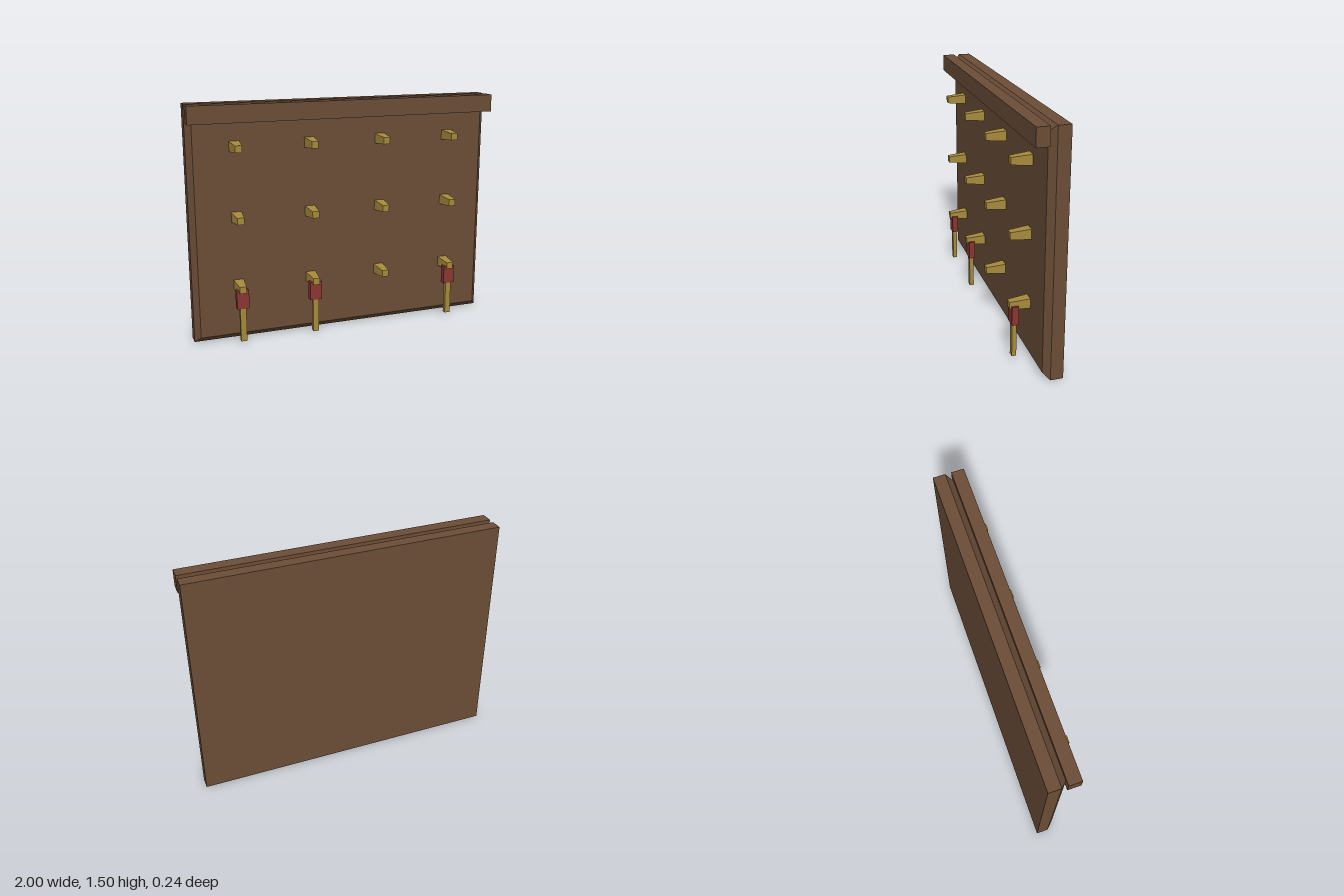
import * as THREE from 'three';

const wood = new THREE.MeshStandardMaterial({ name: 'brown wood', color: 0x6b4d37 });
const brass = new THREE.MeshStandardMaterial({ name: 'brass', color: 0xa68a3c });
const red = new THREE.MeshStandardMaterial({ name: 'red tag', color: 0x8a3631 });

// Box given by centre x, y and z range
function box(name, material, x, y, w, h, z0, z1) {
  const mesh = new THREE.Mesh(new THREE.BoxGeometry(w, h, z1 - z0), material);
  mesh.name = name;
  mesh.position.set(x, y, (z0 + z1) / 2);
  return mesh;
}

// Box whose front face is drawn in by `inset`, starting from the middle depth ring at zMid
function taperedGeometry(w, h, z0, zMid, z1, inset) {
  const geo = new THREE.BoxGeometry(w, h, 2, 1, 1, 2);
  const p = geo.attributes.position;
  for (let i = 0; i < p.count; i++) {
    const ring = p.getZ(i);
    const cut = ring > 0.5 ? inset : 0;
    p.setXYZ(
      i,
      Math.sign(p.getX(i)) * (w / 2 - cut),
      Math.sign(p.getY(i)) * (h / 2 - cut),
      ring > 0.5 ? z1 : ring < -0.5 ? z0 : zMid
    );
  }
  const flat = geo.toNonIndexed();
  flat.computeVertexNormals();
  return flat;
}

export function createModel() {
  const model = new THREE.Group();
  model.name = 'keyRack';

  // Backboard with a chamfered front edge
  const board = new THREE.Mesh(taperedGeometry(2, 1.5, -0.119, -0.042, -0.004, 0.036), wood);
  board.name = 'backboard';
  board.position.y = 0.75;
  model.add(board);

  // Rail across the top
  model.add(box('topRail', wood, 0, 1.445, 2, 0.11, -0.004, 0.075));

  // Grid of tapered pegs
  const columns = [-0.712, -0.237, 0.237, 0.712];
  const rows = [1.241, 0.802, 0.364];
  // The taper runs the full length, so the straight part is buried in the board
  const pegGeometry = taperedGeometry(0.064, 0.064, -0.02, -0.004, 0.119, 0.0105);
  for (const y of rows) {
    for (const x of columns) {
      const peg = new THREE.Mesh(pegGeometry, brass);
      peg.name = 'peg';
      peg.position.set(x, y, 0);
      model.add(peg);
    }
  }

  // Keys hanging from the bottom row
  for (const i of [0, 1, 3]) {
    const key = new THREE.Group();
    key.name = 'key';
    key.position.x = columns[i];
    key.add(box('keyHead', red, 0, 0.2985, 0.077, 0.119, 0.067, 0.108));
    key.add(box('keyBlade', brass, 0, 0.1315, 0.038, 0.219, 0.074, 0.102));
    model.add(key);
  }

  return model;
}
